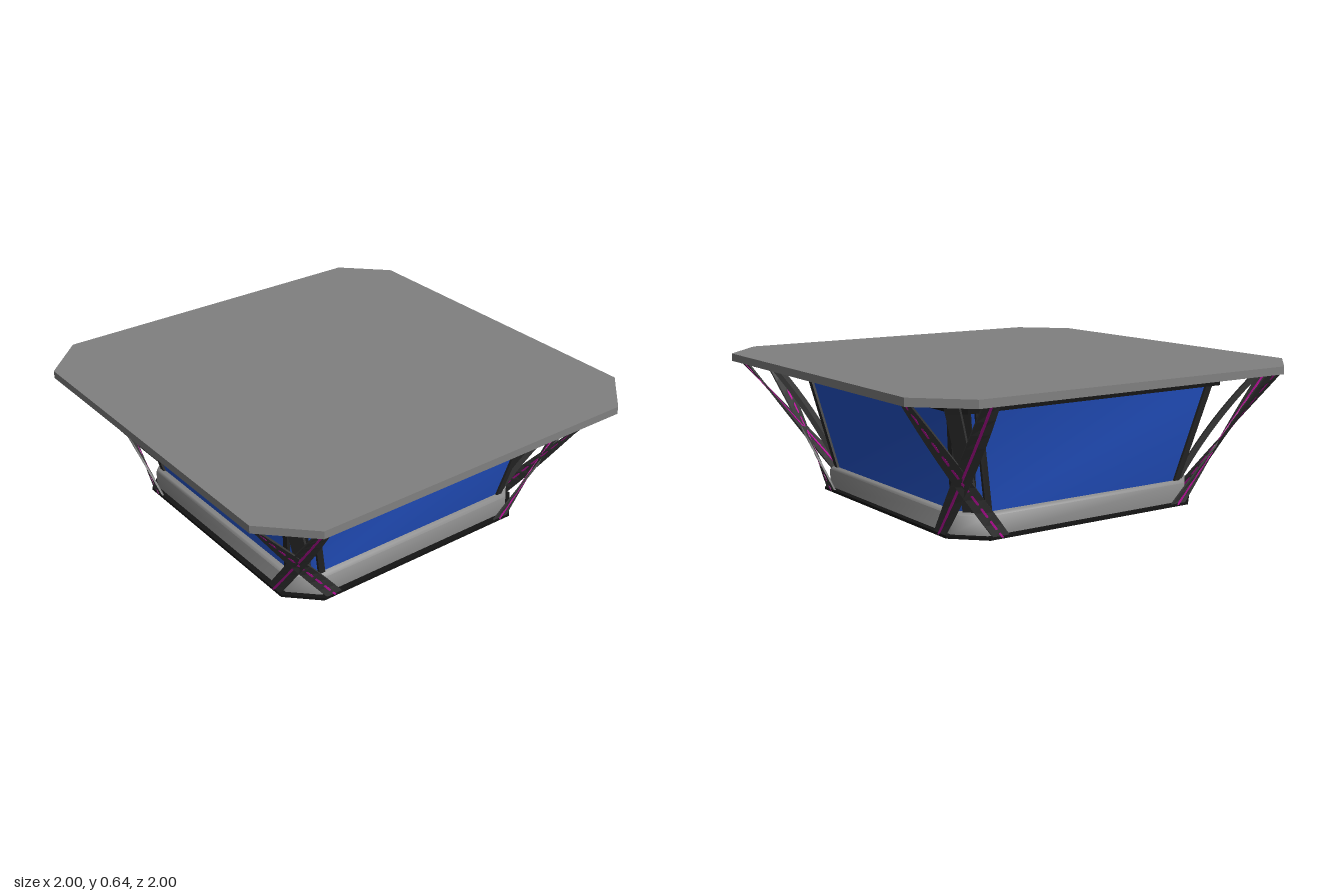
import * as THREE from 'three';
import { toCreasedNormals } from 'three/addons/utils/BufferGeometryUtils.js';

const mat = (color, flatShading = true) => new THREE.MeshStandardMaterial({ color, flatShading });
const roofGrey = mat(0x808080), stoneGrey = mat(0x8c8c8c, false), darkGrey = mat(0x3a3a3a);
const charcoal = mat(0x262626), black = mat(0x141414), blue = mat(0x2555cc, false), magenta = mat(0xc010a0);

// Closed solid through a stack of rings, listed from bottom to top
function loft(rings) {
  const out = [], n = rings[0].length;
  const tri = (...pts) => pts.forEach(p => out.push(p.x, p.y, p.z));
  for (let r = 0; r < rings.length - 1; r++) {
    const lo = rings[r], hi = rings[r + 1];
    for (let i = 0; i < n; i++) {
      const j = (i + 1) % n;
      tri(lo[i], hi[i], lo[j]);
      tri(lo[j], hi[i], hi[j]);
    }
  }
  const bottom = rings[0], top = rings[rings.length - 1];
  for (let i = 1; i < n - 1; i++) {
    tri(bottom[0], bottom[i], bottom[i + 1]);
    tri(top[0], top[i + 1], top[i]);
  }
  const g = new THREE.BufferGeometry();
  g.setAttribute('position', new THREE.Float32BufferAttribute(out, 3));
  return toCreasedNormals(g, Math.PI / 3);
}

// Square with cut corners: half = half width, end = where the corner cut starts
function octagon(y, half, end) {
  return [[half, -end], [half, end], [end, half], [-end, half],
    [-half, end], [-half, -end], [-end, -half], [end, -half]]
    .map(([x, z]) => new THREE.Vector3(x, y, z));
}

// Flat bar along a curve whose wide side turns from angle a0 to a1
function bar(curve, a0, a1, width, thick, steps = 10) {
  const rings = [];
  for (let i = 0; i <= steps; i++) {
    const t = i / steps, c = curve.getPoint(t), a = a0 + (a1 - a0) * t;
    const w = new THREE.Vector3(Math.cos(a), 0, -Math.sin(a)).multiplyScalar(width / 2);
    const n = new THREE.Vector3(Math.sin(a), 0, Math.cos(a)).multiplyScalar(thick / 2);
    rings.push([[1, 1], [-1, 1], [-1, -1], [1, -1]]
      .map(([s, u]) => c.clone().addScaledVector(w, s).addScaledVector(n, u)));
  }
  return loft(rings);
}

function add(parent, name, geometry, material) {
  const m = new THREE.Mesh(geometry, material);
  m.name = name;
  parent.add(m);
}

export function createModel() {
  const model = new THREE.Group();
  model.name = 'pavilion';

  // Wide roof slab
  add(model, 'roof', loft([octagon(0.61, 1, 0.8), octagon(0.645, 1, 0.8)]), roofGrey);

  // Body below the roof
  const body = new THREE.Group();
  body.name = 'body';
  body.position.x = -0.02;
  model.add(body);
  add(body, 'basePlate', loft([octagon(0, 0.672, 0.54), octagon(0.012, 0.672, 0.54)]), black);
  add(body, 'plinth', loft([octagon(0.012, 0.645, 0.535), octagon(0.095, 0.645, 0.535),
    octagon(0.105, 0.635, 0.53)]), stoneGrey);
  add(body, 'glass', loft([octagon(0.1, 0.612, 0.525), octagon(0.55, 0.695, 0.635)]), blue);
  add(body, 'topFrame', loft([octagon(0.54, 0.715, 0.675), octagon(0.61, 0.715, 0.675)]), black);

  const v = (x, y, z) => new THREE.Vector3(x, y, z);
  const q = Math.PI / 2;
  // Crossing struts twist from one face of the base to the neighbouring roof edge
  const strutA = new THREE.QuadraticBezierCurve3(v(0.48, 0.005, 0.665), v(0.72, 0.3, 0.69), v(0.97, 0.61, 0.742));
  const strutB = new THREE.QuadraticBezierCurve3(v(0.665, 0.005, 0.48), v(0.69, 0.3, 0.72), v(0.742, 0.61, 0.97));
  // Leaning post under the roof corner, and a bar up the cut glass corner
  const post = new THREE.QuadraticBezierCurve3(v(0.57, 0.1, 0.57), v(0.67, 0.38, 0.67), v(0.82, 0.61, 0.82));
  const cornerBar = new THREE.LineCurve3(v(0.57, 0.1, 0.57), v(0.667, 0.55, 0.667));
  // Window bars on both ends of every glass face
  const mullions = [-1, 1].map(s =>
    new THREE.LineCurve3(v(s * 0.513, 0.1, 0.613), v(s * 0.62, 0.55, 0.697)));

  for (let k = 0; k < 4; k++) {
    const corner = new THREE.Group();
    corner.name = 'cornerSupport' + (k + 1);
    corner.rotation.y = k * q;
    body.add(corner);
    for (const [curve, a0, a1] of [[strutA, 0, q], [strutB, q, 0]]) {
      add(corner, 'strut', bar(curve, a0, a1, 0.08, 0.01), darkGrey);
      add(corner, 'strutStripe', bar(curve, a0, a1, 0.012, 0.014), magenta);
    }
    add(corner, 'cornerPost', bar(post, q / 2, q / 2, 0.06, 0.03), darkGrey);
    add(corner, 'cornerBar', bar(cornerBar, q / 2, q / 2, 0.06, 0.02, 1), charcoal);
    for (const m of mullions) add(corner, 'mullion', bar(m, 0, 0, 0.03, 0.02, 1), charcoal);
  }
  return model;
}
